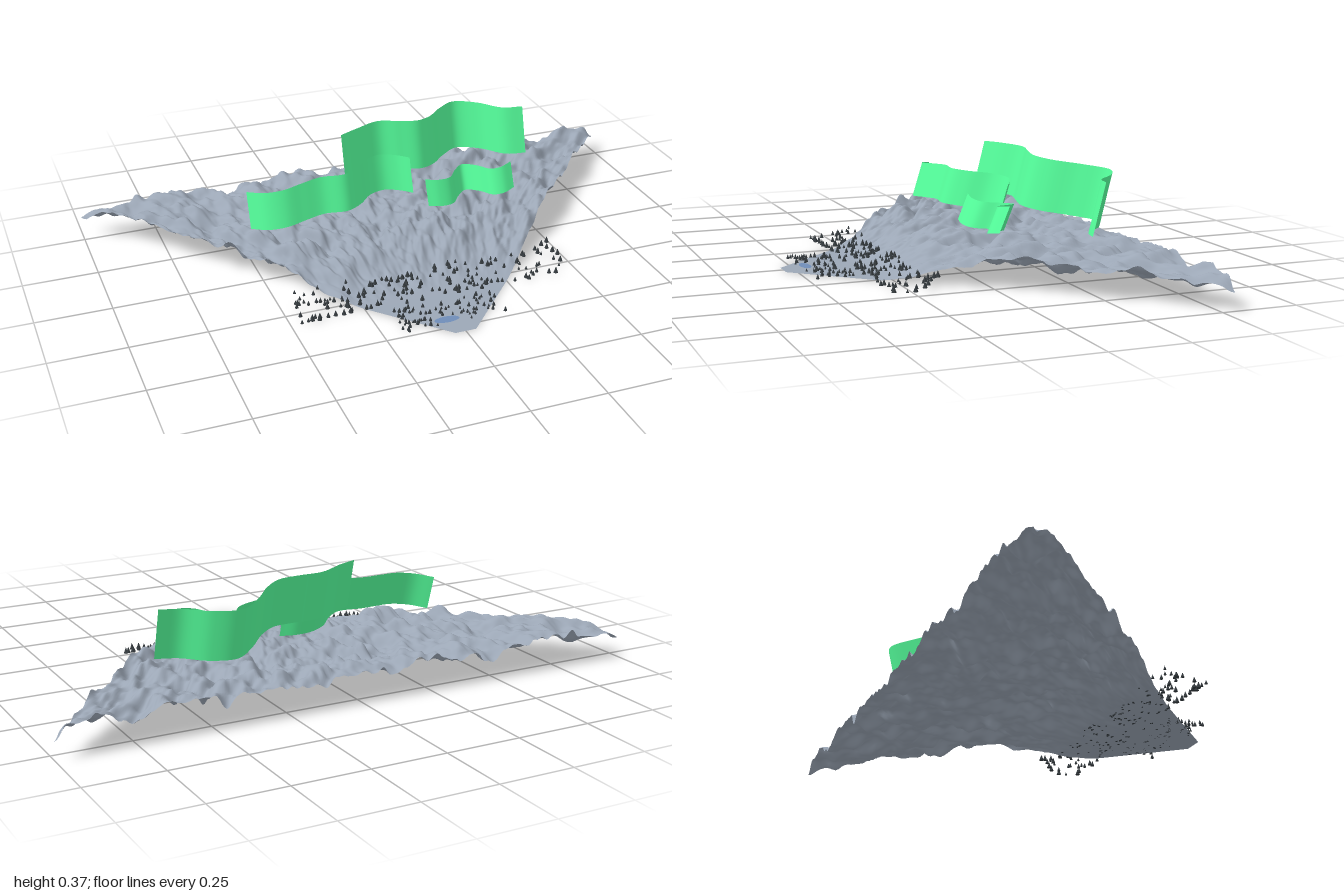
import * as THREE from 'three';
import { mergeGeometries } from 'three/addons/utils/BufferGeometryUtils.js';

const BACK = -0.54, FRONT = 0.535;
const LAKE = { x: -0.03, z: 0.453, rx: 0.042, rz: 0.018 };

// Seeded random numbers and smooth value noise
function makeRandom(seed) {
  return () => {
    seed = (seed * 1664525 + 1013904223) >>> 0;
    return seed / 4294967296;
  };
}
function hash(i, j) {
  const s = Math.sin(i * 127.1 + j * 311.7) * 43758.5453;
  return s - Math.floor(s);
}
function noise(x, y) {
  const i = Math.floor(x), j = Math.floor(y);
  const a = THREE.MathUtils.smoothstep(x - i, 0, 1);
  const b = THREE.MathUtils.smoothstep(y - j, 0, 1);
  const lerp = THREE.MathUtils.lerp;
  return lerp(lerp(hash(i, j), hash(i + 1, j), a), lerp(hash(i, j + 1), hash(i + 1, j + 1), a), b);
}

// Half width of the wedge of land at depth z
const halfWidth = (z) => 0.035 + 0.965 * (FRONT - z) / (FRONT - BACK);

// Flat valley at the tip, rising to a rugged plateau with levelled summits
function groundHeight(x, z) {
  const u = x / (0.35 + 0.65 * halfWidth(z));
  const rise = 1 - THREE.MathUtils.smoothstep(z, -0.02, 0.3);
  const n = 0.56 * noise(u * 15 + 40, z * 13 + 20)
    + 0.3 * noise(u * 30 + 90, z * 24 + 50)
    + 0.14 * noise(u * 56 + 10, z * 46 + 70);
  const rugged = THREE.MathUtils.clamp((n - 0.5) * 1.35 + 0.58, 0, 1);
  return rise * (0.046 + 0.078 * rugged) + 0.001;
}

function createTerrain() {
  const geo = new THREE.PlaneGeometry(2, 1, 240, 120).rotateX(-Math.PI / 2);
  const p = geo.attributes.position;
  for (let i = 0; i < p.count; i++) {
    const z = THREE.MathUtils.lerp(BACK, FRONT, p.getZ(i) + 0.5);
    const x = p.getX(i) * halfWidth(z);
    p.setXYZ(i, x, groundHeight(x, z), z);
  }
  geo.computeVertexNormals();
  const mesh = new THREE.Mesh(geo, new THREE.MeshStandardMaterial({ color: 0x9ca7b6, side: THREE.DoubleSide }));
  mesh.name = 'terrain';
  return mesh;
}

// Wavy curtain: points give [x, bottom y, bottom z]; the top leans backwards
function createCurtain(name, points, height, lean) {
  const curve = new THREE.CatmullRomCurve3(points.map((q) => new THREE.Vector3(...q)));
  const geo = new THREE.PlaneGeometry(1, 1, 72, 4);
  const p = geo.attributes.position;
  for (let i = 0; i < p.count; i++) {
    const c = curve.getPoint(p.getX(i) + 0.5), v = p.getY(i) + 0.5;
    p.setXYZ(i, c.x, c.y + v * height, c.z - v * lean);
  }
  geo.computeVertexNormals();
  const mesh = new THREE.Mesh(geo, new THREE.MeshStandardMaterial({ color: 0x55ff9c, side: THREE.DoubleSide }));
  mesh.name = name;
  return mesh;
}

// Scattered low-poly conifers inside a rectangle, none standing in the lake
function createTrees(name, count, xRange, zRange, size, seed) {
  const random = makeRandom(seed), cones = [];
  while (cones.length < count) {
    const x = THREE.MathUtils.lerp(...xRange, random());
    const z = THREE.MathUtils.lerp(...zRange, random());
    if (Math.hypot((x - LAKE.x) / LAKE.rx, (z - LAKE.z) / LAKE.rz) < 1.2) continue;
    const h = size * (0.7 + 0.6 * random());
    const cone = new THREE.ConeGeometry(h * 0.38, h, 6);
    cone.rotateY(random() * 3).translate(x, groundHeight(x, z) + h / 2, z);
    cones.push(cone);
  }
  const mesh = new THREE.Mesh(mergeGeometries(cones),
    new THREE.MeshStandardMaterial({ color: 0x363c40, flatShading: true }));
  mesh.name = name;
  return mesh;
}

export function createModel() {
  const model = new THREE.Group();
  model.name = 'mountainLandscape';
  model.add(createTerrain());

  // Three glowing curtains above the plateau
  model.add(createCurtain('rearCurtain', [
    [-0.14, 0.205, -0.191], [-0.07, 0.206, -0.223], [0.02, 0.202, -0.265], [0.09, 0.197, -0.252],
    [0.16, 0.191, -0.244], [0.22, 0.183, -0.279], [0.29, 0.174, -0.354], [0.37, 0.166, -0.413],
    [0.45, 0.162, -0.38], [0.52, 0.16, -0.308], [0.59, 0.162, -0.288],
  ], 0.167, 0.042));
  model.add(createCurtain('leftCurtain', [
    [-0.5, 0.132, -0.125], [-0.45, 0.14, -0.08], [-0.39, 0.147, -0.065], [-0.32, 0.153, -0.08],
    [-0.25, 0.157, -0.095], [-0.17, 0.157, -0.087], [-0.11, 0.154, -0.125], [-0.05, 0.15, -0.19],
    [0.01, 0.145, -0.217], [0.06, 0.139, -0.207], [0.105, 0.134, -0.179],
  ], 0.12, 0.037));
  model.add(createCurtain('rightCurtain', [
    [0.105, 0.15, -0.036], [0.15, 0.143, -0.031], [0.2, 0.138, -0.045], [0.24, 0.137, -0.094],
    [0.28, 0.139, -0.125], [0.32, 0.144, -0.089], [0.35, 0.148, -0.039], [0.385, 0.153, -0.029],
    [0.43, 0.16, -0.045],
  ], 0.084, 0.035));

  // Woods at the foot of the slope and round the lake
  model.add(createTrees('slopeTrees', 170, [-0.47, 0.48], [0.17, 0.31], 0.017, 7));
  model.add(createTrees('lakeTrees', 80, [-0.18, 0.17], [0.34, 0.475], 0.014, 23));

  // Small oval lake
  const lake = new THREE.Mesh(new THREE.CircleGeometry(1, 32).rotateX(-Math.PI / 2),
    new THREE.MeshStandardMaterial({ color: 0x6f8db8 }));
  lake.scale.set(LAKE.rx, 1, LAKE.rz);
  lake.position.set(LAKE.x, 0.003, LAKE.z);
  lake.name = 'lake';
  model.add(lake);
  return model;
}
